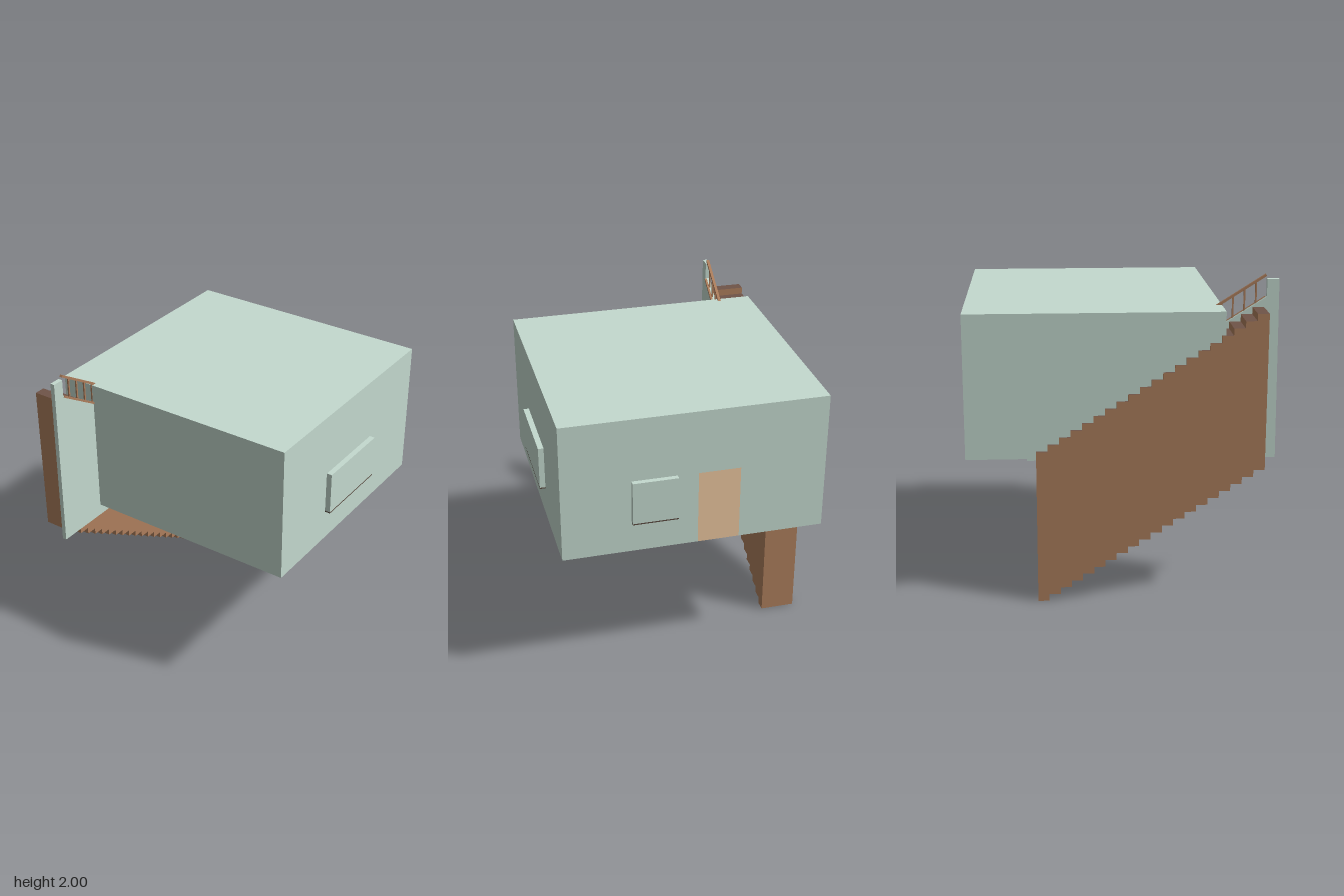
import * as THREE from 'three';

const mat = (color, side = THREE.FrontSide) => new THREE.MeshStandardMaterial({ color, side });

export function createModel() {
  const root = new THREE.Group();
  const green = mat(0xc4dacf), greenWall = mat(0xc4dacf, THREE.DoubleSide);
  const brown = mat(0xae7f5d), tread = mat(0x705449), dark = mat(0x5a4a40);
  const tan = mat(0xb89b7c, THREE.DoubleSide);

  const add = (name, geometry, material, parent = root) => {
    const m = new THREE.Mesh(geometry, material);
    m.name = name;
    parent.add(m);
    return m;
  };
  // box given by its lower and upper corners
  const box = (name, a, b, material, parent) => {
    const m = add(name, new THREE.BoxGeometry(b[0] - a[0], b[1] - a[1], b[2] - a[2]), material, parent);
    m.position.set((a[0] + b[0]) / 2, (a[1] + b[1]) / 2, (a[2] + b[2]) / 2);
    return m;
  };

  // Hollow room made of thin sheets
  const X0 = -0.825, X1 = 0.805, Y0 = 0.92, Y1 = 1.81, Z0 = -0.94, Z1 = 0.62;
  const W = X1 - X0, H = Y1 - Y0, D = Z1 - Z0;
  const cx = (X0 + X1) / 2, cy = (Y0 + Y1) / 2, cz = (Z0 + Z1) / 2;
  const room = new THREE.Group();
  room.name = 'room';
  root.add(room);
  add('frontWall', new THREE.PlaneGeometry(W, H), greenWall, room).position.set(cx, cy, Z1);
  for (const [name, x, s] of [['leftWall', X1, 1], ['rightWall', X0, -1]]) {
    const wall = add(name, new THREE.PlaneGeometry(D, H), greenWall, room);
    wall.rotation.y = s * Math.PI / 2;
    wall.position.set(x, cy, cz);
  }
  for (const [name, y, s, m] of [['roof', Y1, -1, greenWall], ['floor', Y0, 1, tan]]) {
    const slab = add(name, new THREE.PlaneGeometry(W, D), m, room);
    slab.rotation.x = s * Math.PI / 2;
    slab.position.set(cx, y, cz);
  }
  // Back wall notched by the doorway
  const back = new THREE.Shape([
    [X0, Y0], [-0.29, Y0], [-0.29, 1.40], [-0.03, 1.40], [-0.03, Y0], [X1, Y0], [X1, Y1], [X0, Y1],
  ].map(([x, y]) => new THREE.Vector2(-x, y)));
  const backWall = add('backWall', new THREE.ShapeGeometry(back), greenWall, room);
  backWall.rotation.y = Math.PI;
  backWall.position.z = Z0;

  // Projecting windows with thin sills
  box('sideWindow', [X1, 1.128, -0.425], [0.84, 1.403, 0.115], green);
  box('sideWindowSill', [X1, 1.12, -0.425], [0.84, 1.128, 0.115], dark);
  box('backWindow', [0.10, 1.128, -0.972], [0.38, 1.403, Z0], green);
  box('backWindowSill', [0.10, 1.12, -0.972], [0.38, 1.128, Z0], dark);

  // Staircase of twenty tall blocks with dark treads
  const stairs = new THREE.Group();
  stairs.name = 'stairs';
  root.add(stairs);
  const run = 0.0694, rise = 0.0438;
  const stepMaterials = [brown, brown, tread, brown, brown, brown];
  for (let i = 0; i < 20; i++) {
    const z = -0.515 + i * run, y = i * rise;
    box('step', [-0.842, y, z], [-0.622, y + 0.966, z + run], stepMaterials, stairs);
  }

  // Sloping parapet wall with a tall end post
  const slope = rise / run;
  const wallTop = z => 1.86 + slope * (z - 0.89);
  const profile = new THREE.Shape([
    [-0.575, 0.845], [0.972, 0.845], [0.963, 1.968], [0.89, 1.968], [0.89, 1.86], [-0.575, wallTop(-0.575)],
  ].map(([z, y]) => new THREE.Vector2(z, y)));
  const parapet = add('parapet', new THREE.ExtrudeGeometry(profile, { depth: 0.028, bevelEnabled: false }), green);
  parapet.rotation.y = -Math.PI / 2;
  parapet.position.x = -0.6;

  // Handrail, lower rail and balusters
  const railing = new THREE.Group();
  railing.name = 'railing';
  root.add(railing);
  const za = -0.52, zb = 0.885, mid = (za + zb) / 2;
  const length = (zb - za) * Math.hypot(1, slope);
  for (const [name, x, lift, w, h] of [['handrail', -0.611, 0.134, 0.018, 0.014], ['lowerRail', -0.6, -0.003, 0.014, 0.012]]) {
    const rail = add(name, new THREE.BoxGeometry(w, h, length), brown, railing);
    rail.rotation.x = -Math.atan(slope);
    rail.position.set(x, wallTop(mid) + lift, mid);
  }
  for (let i = 0; i < 19; i++) {
    const z = 0.825 - i * run;
    box('baluster', [-0.616, wallTop(z) - 0.01, z - 0.005], [-0.606, wallTop(z) + 0.134, z + 0.005], brown, railing);
  }
  return root;
}
